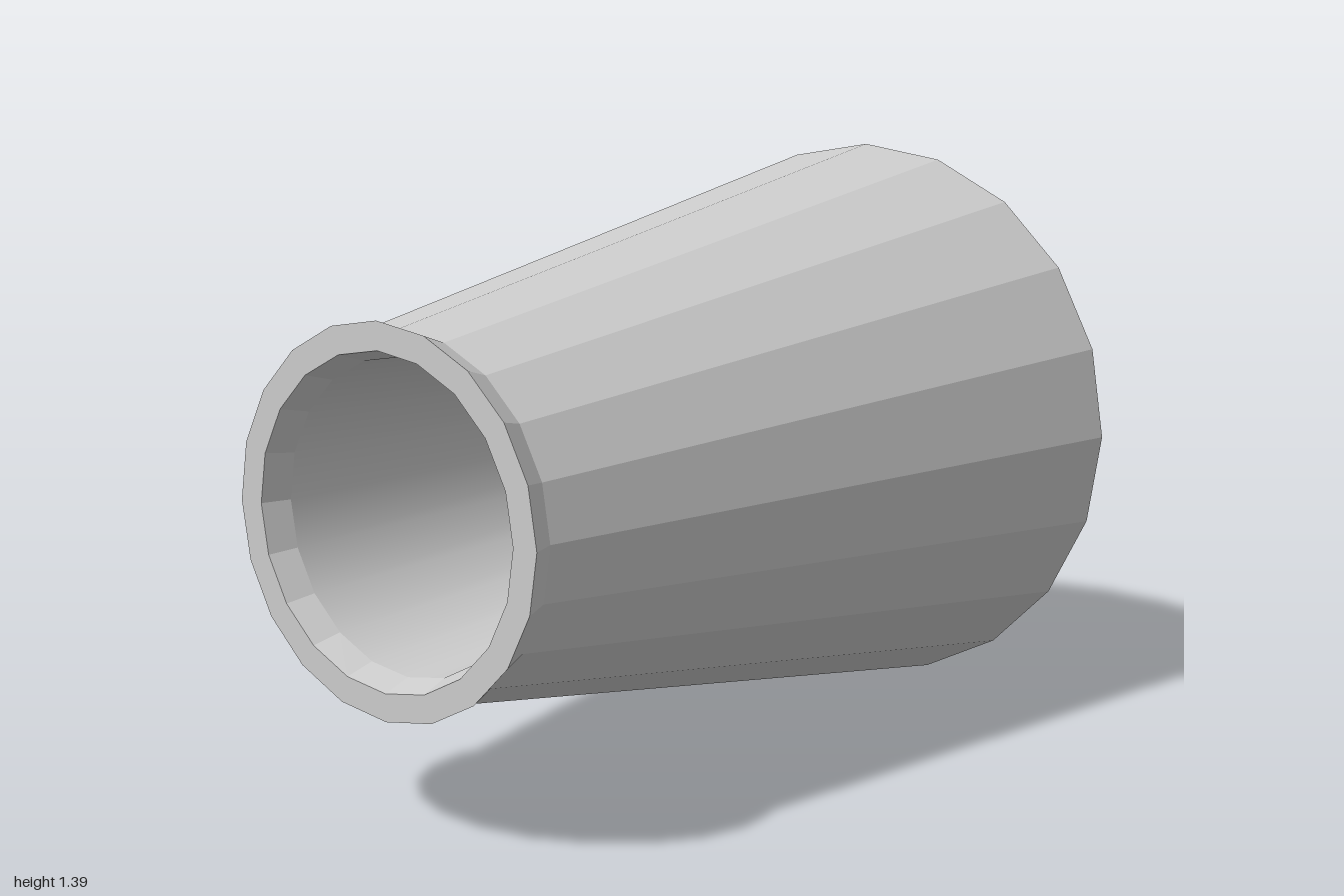
import * as THREE from 'three';

const SIDES = 20;
const AXIS_HEIGHT = 0.697;

// Turns a [radius, z] profile around the z axis; run it from back to front for an outward skin
function turned(name, profile, flatShading) {
  const points = profile.map(([r, z]) => new THREE.Vector2(r, z));
  const geometry = new THREE.LatheGeometry(points, SIDES);
  geometry.rotateX(Math.PI / 2);
  const material = new THREE.MeshStandardMaterial({ color: 0xcccccc, flatShading });
  const mesh = new THREE.Mesh(geometry, material);
  mesh.name = name;
  return mesh;
}

export function createModel() {
  const group = new THREE.Group();
  group.name = 'taperedCup';

  group.add(
    // Closed end: shallow dimple, gently domed cap, then a steeper bevel
    turned('dimpleFloor', [[0, -0.96], [0.15, -0.96]], true),
    turned('dimpleWall', [[0.15, -0.96], [0.235, -1]], false),
    turned('endCap', [[0.235, -1], [0.46, -0.945]], false),
    turned('endBevel', [[0.46, -0.945], [0.697, -0.79]], true),

    // Tapered outer wall
    turned('body', [[0.697, -0.79], [0.39, 0.935]], true),

    // Flared lip around the mouth
    turned('lip', [[0.39, 0.935], [0.412, 1]], true),
    turned('rim', [[0.412, 1], [0.352, 1]], true),
    turned('innerLip', [[0.352, 1], [0.332, 0.935]], true),

    // Hollow inside
    turned('innerWall', [[0.332, 0.935], [0.258, -0.75]], false),
    turned('innerFloor', [[0.258, -0.75], [0, -0.75]], true)
  );

  group.children.forEach((part) => { part.position.y = AXIS_HEIGHT; });
  return group;
}
